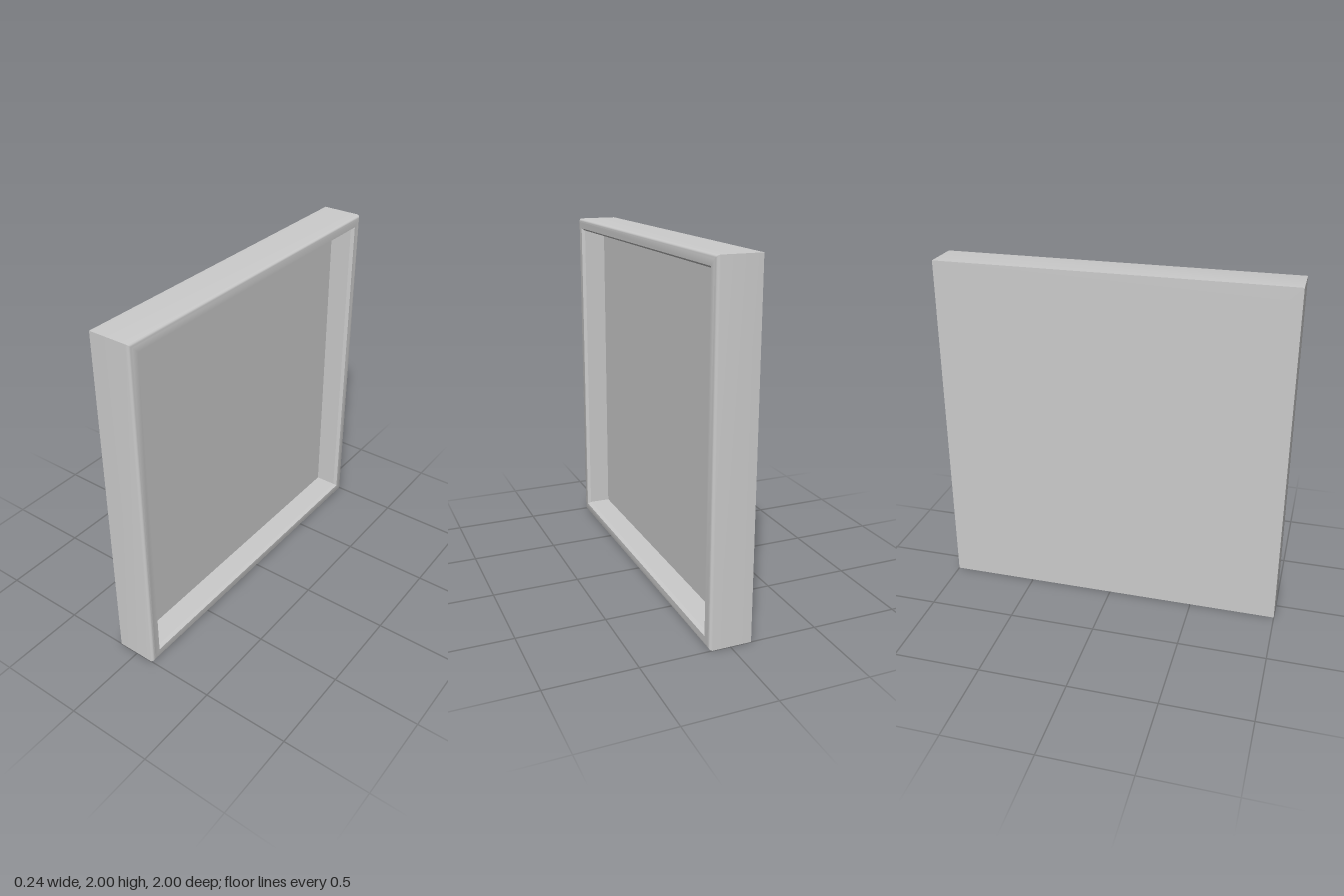
import * as THREE from 'three';
import { toCreasedNormals } from 'three/addons/utils/BufferGeometryUtils.js';

const HALF_DEPTH = 0.12;   // x half thickness
const OPENING = 0.93;      // half size of the recess
const RECESS_FLOOR = -0.025;
const FILLET = 0.02;       // rounding of the outer front edge

// Sweep a profile of [half size, depth] points round a square, facing +x
function squareSweep(profile) {
  const points = profile.map(([half, depth]) => new THREE.Vector2(half * Math.SQRT2, depth));
  const geometry = new THREE.LatheGeometry(points, 4, Math.PI / 4);
  geometry.rotateZ(-Math.PI / 2);
  geometry.deleteAttribute('normal');
  return toCreasedNormals(geometry, THREE.MathUtils.degToRad(35));
}

export function createModel() {
  const model = new THREE.Group();
  model.name = 'shallowTray';
  const material = new THREE.MeshStandardMaterial({ color: 0xcccccc });

  // Frame: back edge, outer wall, rounded front edge, chamfered lip, inner wall
  const profile = [[OPENING, -HALF_DEPTH], [1, -HALF_DEPTH]];
  for (let i = 0; i <= 4; i++) {
    const a = (i / 4) * Math.PI / 2;
    profile.push([1 - FILLET + FILLET * Math.cos(a), HALF_DEPTH - FILLET + FILLET * Math.sin(a)]);
  }
  profile.push([OPENING + 0.013, HALF_DEPTH], [OPENING, HALF_DEPTH - 0.018], [OPENING, RECESS_FLOOR]);
  const frame = new THREE.Mesh(squareSweep(profile), material);
  frame.name = 'frame';
  frame.position.y = 1;
  model.add(frame);

  // Back panel forming the floor of the recess
  const thickness = RECESS_FLOOR + HALF_DEPTH;
  const panel = new THREE.Mesh(new THREE.BoxGeometry(thickness, OPENING * 2, OPENING * 2), material);
  panel.name = 'backPanel';
  panel.position.set(-HALF_DEPTH + thickness / 2, 1, 0);
  model.add(panel);

  return model;
}
